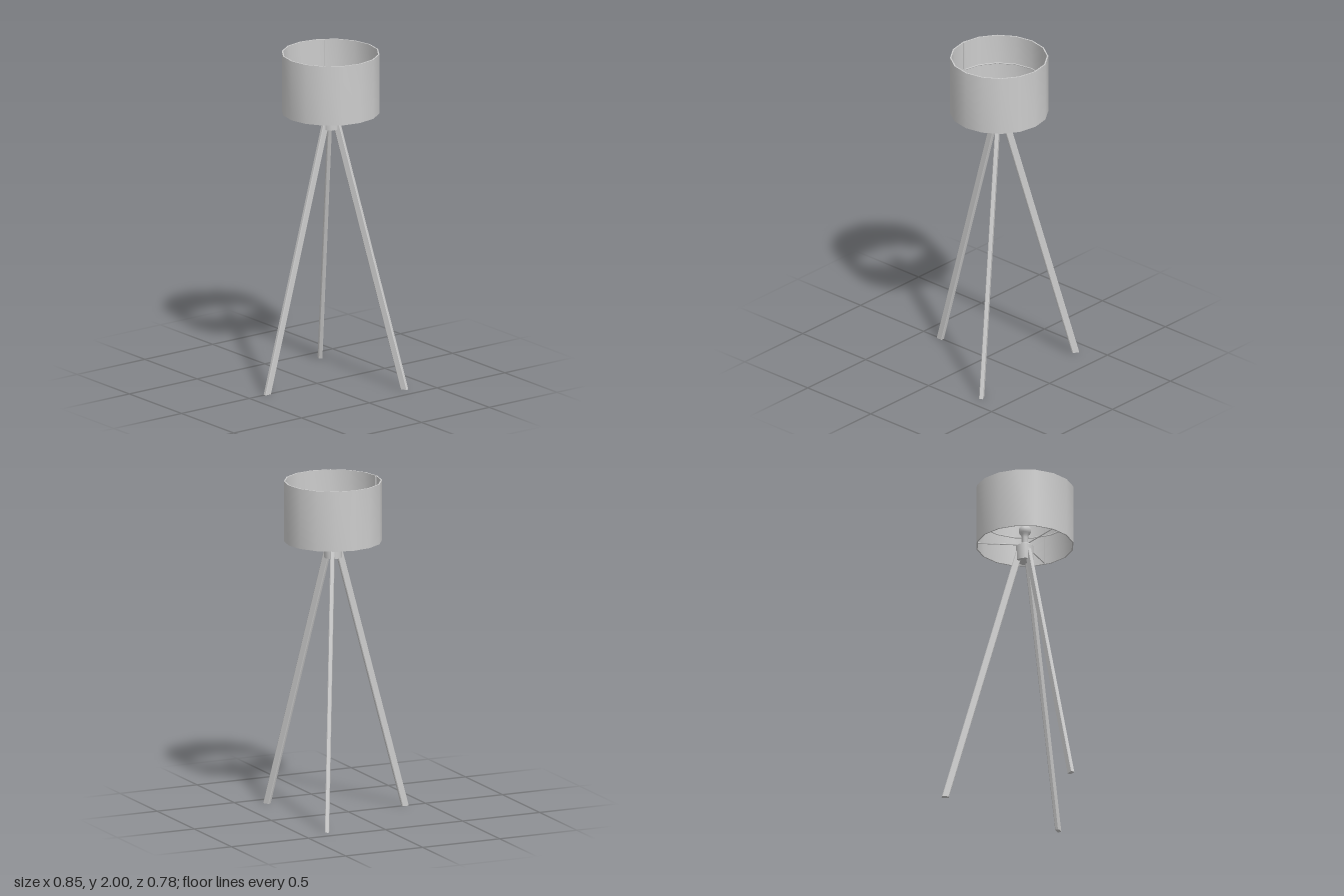
import * as THREE from 'three';
import { toCreasedNormals } from 'three/addons/utils/BufferGeometryUtils.js';

const grey = new THREE.MeshStandardMaterial({ color: 0xcccccc });
grey.name = 'light grey';

function add(parent, name, geometry) {
  const mesh = new THREE.Mesh(geometry, grey);
  mesh.name = name;
  parent.add(mesh);
  return mesh;
}

function turned(profile, sides, crease = 0.85) {
  const points = profile.map(([r, y]) => new THREE.Vector2(r, y));
  return toCreasedNormals(new THREE.LatheGeometry(points, sides), crease);
}

// Chamfered bar, leaning inwards as it rises, with level ends
function legGeometry() {
  const w = 0.012, d = 0.021, c = 0.004, height = 1.62;
  const section = new THREE.Shape([
    [-w + c, -d], [w - c, -d], [w, -d + c], [w, d - c],
    [w - c, d], [-w + c, d], [-w, d - c], [-w, -d + c],
  ].map(([x, y]) => new THREE.Vector2(x, y)));
  const geo = new THREE.ExtrudeGeometry(section, { depth: height, bevelEnabled: false });
  geo.rotateX(-Math.PI / 2);
  const p = geo.attributes.position;
  for (let i = 0; i < p.count; i++) p.setZ(i, p.getZ(i) + 0.467 - 0.272 * p.getY(i));
  geo.computeVertexNormals();
  return geo;
}

export function createModel() {
  const model = new THREE.Group();
  model.name = 'tripodFloorLamp';
  const lamp = new THREE.Group();
  lamp.name = 'lamp';
  lamp.position.z = -0.1;
  model.add(lamp);

  // Drum shade with a thin wall, open at both ends
  add(lamp, 'shade', turned([
    [0.288, 1.64], [0.288, 2], [0.28, 2], [0.28, 1.64], [0.288, 1.64],
  ], 16, 0.6));

  // Wire ring at mid height inside the shade
  const ring = add(lamp, 'shadeRing', new THREE.TorusGeometry(0.279, 0.004, 6, 16));
  ring.rotation.set(-Math.PI / 2, 0, 0);
  ring.position.y = 1.82;

  // Hub where the legs meet
  add(lamp, 'hub', turned([
    [0, 1.54], [0.052, 1.54], [0.052, 1.635], [0.043, 1.643], [0, 1.643],
  ], 12, 0.6));

  // Bulb with a narrow neck
  const bulb = [[0.02, 1.64], [0.02, 1.69]];
  for (let i = 0; i <= 7; i++) {
    const a = -0.9 + (i / 7) * (Math.PI / 2 + 0.9);
    bulb.push([Math.max(0, 0.037 * Math.cos(a)), 1.737 + 0.037 * Math.sin(a)]);
  }
  add(lamp, 'bulb', turned(bulb, 10, 1));

  // Three legs, each with a spoke and an upright rod carrying the shade
  const leg = legGeometry();
  const spoke = new THREE.CylinderGeometry(0.004, 0.004, 0.25, 6).rotateX(Math.PI / 2);
  const rod = new THREE.CylinderGeometry(0.004, 0.004, 0.355, 6);
  for (let i = 0; i < 3; i++) {
    const arm = new THREE.Group();
    arm.name = 'legAndSpoke';
    arm.rotation.y = (i * Math.PI * 2) / 3;
    lamp.add(arm);
    add(arm, 'leg', leg);
    add(arm, 'shadeSpoke', spoke).position.set(0, 1.645, 0.155);
    add(arm, 'shadeRod', rod).position.set(0, 1.8195, 0.277);
  }
  return model;
}
